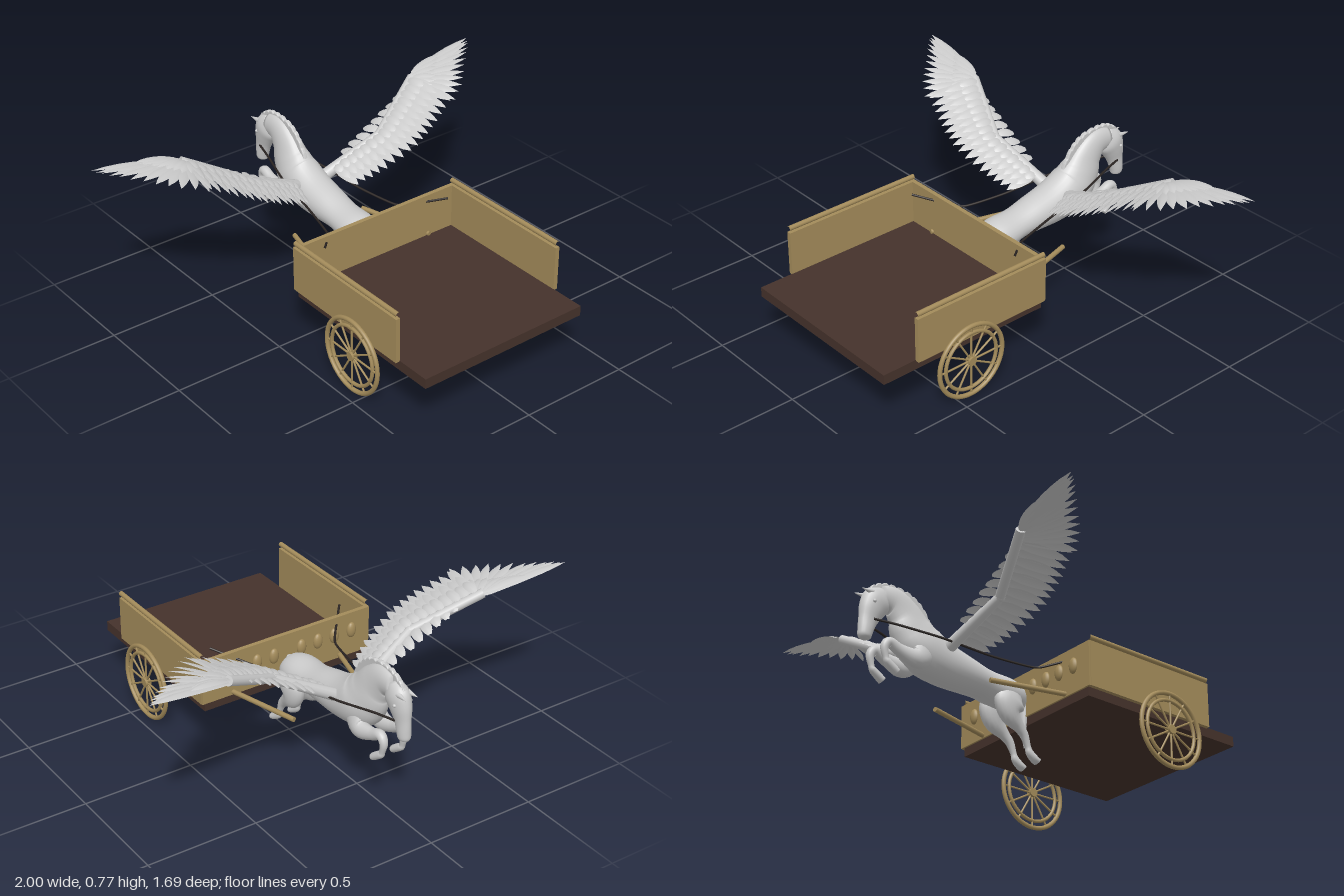
import * as THREE from 'three';
import { mergeGeometries } from 'three/addons/utils/BufferGeometryUtils.js';

const V = (x, y, z) => new THREE.Vector3(x, y, z);
const mat = (color, side = THREE.FrontSide) => new THREE.MeshStandardMaterial({ color, side });
const grey = mat(0xcccccc), featherGrey = mat(0xcccccc, THREE.DoubleSide);
const wood = mat(0xa38b5a), darkWood = mat(0x45322b), leather = mat(0x2a2422);

function add(parent, name, geo, material) {
  const mesh = new THREE.Mesh(geo, material);
  mesh.name = name;
  parent.add(mesh);
  return mesh;
}

function box(w, h, d, x, y, z) {
  return new THREE.BoxGeometry(w, h, d).translate(x, y, z);
}

// Tapered rod between two points
function rod(a, b, ra, rb = ra, open = false, sides = 12) {
  const d = b.clone().sub(a);
  const q = new THREE.Quaternion().setFromUnitVectors(V(0, 1, 0), d.clone().normalize());
  return new THREE.CylinderGeometry(rb, ra, d.length(), sides, 1, open)
    .applyQuaternion(q).translate(...a.clone().add(b).multiplyScalar(0.5).toArray());
}

// Smooth elliptical loft; each section is [x, y, z, halfWidth, halfHeight]
function loft(sections, s = 1, sides = 18, perSpan = 5) {
  const path = new THREE.CatmullRomCurve3(sections.map(p => V(p[0] * s, p[1], p[2])), false, 'catmullrom');
  const size = new THREE.CatmullRomCurve3(sections.map(p => V(p[3], p[4], 0)), false, 'catmullrom');
  const n = (sections.length - 1) * perSpan, pos = [], idx = [];
  for (let i = -1; i <= n + 1; i++) {
    const u = Math.min(Math.max(i / n, 0), 1), k = i < 0 || i > n ? 0.02 : 1;
    const c = path.getPoint(u), r = size.getPoint(u), t = path.getTangent(u).setX(0).normalize();
    const up = V(1, 0, 0).cross(t);
    for (let j = 0; j < sides; j++) {
      const a = j / sides * Math.PI * 2;
      const p = c.clone().addScaledVector(up, Math.sin(a) * r.y * k);
      pos.push(p.x + Math.cos(a) * r.x * k, p.y, p.z);
      if (i > n) continue;
      const row = (i + 1) * sides, j2 = (j + 1) % sides;
      idx.push(row + j, row + sides + j, row + j2, row + j2, row + sides + j, row + sides + j2);
    }
  }
  const g = new THREE.BufferGeometry();
  g.setAttribute('position', new THREE.Float32BufferAttribute(pos, 3));
  g.setIndex(idx);
  g.computeVertexNormals();
  return g;
}

// Cambered leaf-shaped feather from base to tip
function feather(base, tip, half, wingUp, sag = 0.008) {
  const d = tip.clone().sub(base), side = wingUp.clone().cross(d).normalize();
  const up = d.clone().cross(side).normalize();
  const widths = [0.4, 0.8, 1, 1, 0.9, 0.6, 0.02], pos = [], idx = [];
  widths.forEach((w, i) => {
    const t = i / 6, c = base.clone().addScaledVector(d, t).addScaledVector(up, sag * 4 * t * (1 - t));
    for (const k of [-1, 0, 1]) {
      const p = c.clone().addScaledVector(side, k * w * half).addScaledVector(up, k ? 0 : half * 0.3 * w);
      pos.push(p.x, p.y, p.z);
    }
    if (i < 6) for (const a of [i * 3, i * 3 + 1]) idx.push(a, a + 1, a + 3, a + 1, a + 4, a + 3);
  });
  const g = new THREE.BufferGeometry();
  g.setAttribute('position', new THREE.Float32BufferAttribute(pos, 3));
  g.setIndex(idx);
  g.computeVertexNormals();
  return g;
}

function makeWing(s) {
  const wing = new THREE.Group();
  wing.name = s > 0 ? 'leftWing' : 'rightWing';
  const planeY = x => x < 0.62 ? 0.43 + (x - 0.08) * 0.52 : 0.71 + (x - 0.62) * 0.2;
  const at = (x, z, lift = 0) => V(s * x, planeY(x) + lift, z);
  const up = V(-0.45 * s, 0.89, 0);
  const shoulder = at(0.06, -0.44), elbow = at(0.34, -0.385), wrist = at(0.62, -0.505);
  const arm = t => t < 0.5 ? shoulder.clone().lerp(elbow, t * 2) : elbow.clone().lerp(wrist, t * 2 - 1);
  const curve = pts => new THREE.CatmullRomCurve3(pts.map(p => at(p[0], p[1], -0.015)));

  add(wing, 'wingUpperArm', rod(shoulder, elbow, 0.028, 0.021), grey);
  add(wing, 'wingForearm', rod(elbow, wrist, 0.021, 0.021), grey);
  add(wing, 'wingElbow', new THREE.SphereGeometry(0.022, 14, 10).translate(...elbow.toArray()), grey);

  // Row of overlapping feathers between an inner and an outer curve
  const row = (name, count, baseAt, tipAt, reach, half, lift) => {
    const list = [];
    for (let i = 0; i < count; i++) {
      const t = i / (count - 1), b = baseAt(t), tip = b.clone().lerp(tipAt(t), reach);
      const off = up.clone().multiplyScalar(lift + (i % 2) * 0.003);
      list.push(feather(b.add(off), tip.add(off), half, up));
    }
    add(wing, name, mergeGeometries(list), featherGrey);
  };
  const trail = curve([[0.13, -0.27], [0.24, -0.22], [0.38, -0.19], [0.5, -0.205], [0.63, -0.25]]);
  const fan = curve([[0.65, -0.24], [0.75, -0.31], [0.83, -0.39], [0.91, -0.47], [0.97, -0.53], [0.998, -0.57]]);
  const inner = t => arm(0.12 + 0.84 * t), outer = t => arm(0.93).lerp(at(0.64, -0.52), t);
  row('secondaryFeathers', 16, inner, t => trail.getPoint(t), 1, 0.024, -0.008);
  row('middleCoverts', 16, inner, t => trail.getPoint(t), 0.7, 0.022, 0.004);
  row('smallCoverts', 16, inner, t => trail.getPoint(t), 0.42, 0.02, 0.014);
  row('primaryFeathers', 12, outer, t => fan.getPoint(t), 1, 0.024, -0.006);
  row('primaryCoverts', 10, outer, t => fan.getPoint(t), 0.5, 0.02, 0.008);
  row('leadingCoverts', 9, t => at(0.2 + 0.34 * t, -0.475 - 0.01 * t),
    t => at(0.22 + 0.36 * t, -0.37 - 0.04 * t), 1, 0.022, 0);
  return wing;
}

function makeHorse() {
  const horse = new THREE.Group();
  horse.name = 'wingedHorse';
  add(horse, 'bodyAndNeck', loft([
    [0, 0.34, 0.005, 0.03, 0.03], [0, 0.335, -0.03, 0.07, 0.06], [0, 0.34, -0.1, 0.086, 0.073],
    [0, 0.355, -0.2, 0.078, 0.064], [0, 0.368, -0.3, 0.084, 0.077], [0, 0.385, -0.42, 0.09, 0.095],
    [0, 0.42, -0.52, 0.088, 0.112], [0, 0.475, -0.572, 0.07, 0.105], [0, 0.54, -0.612, 0.052, 0.084],
    [0, 0.585, -0.665, 0.042, 0.068], [0, 0.59, -0.735, 0.036, 0.05]], 1, 28), grey);
  add(horse, 'head', loft([
    [0, 0.605, -0.72, 0.028, 0.035], [0, 0.565, -0.75, 0.044, 0.064], [0, 0.52, -0.773, 0.04, 0.058],
    [0, 0.465, -0.79, 0.03, 0.042], [0, 0.415, -0.8, 0.028, 0.033], [0, 0.388, -0.803, 0.024, 0.028],
    [0, 0.378, -0.803, 0.012, 0.014]], 1, 22), grey);

  // Mane with a scalloped upper edge, closed along the neck
  const crest = new THREE.CatmullRomCurve3([V(0.475, 0.53, 0), V(0.525, 0.605, 0), V(0.58, 0.643, 0),
    V(0.66, 0.657, 0), V(0.73, 0.65, 0), V(0.785, 0.615, 0), V(0.815, 0.565, 0)]);
  const outline = crest.getPoints(36).map((p, i) => new THREE.Vector2(p.x, p.y - (i % 3 ? 0 : 0.008)));
  for (const [x, y] of [[0.76, 0.57], [0.66, 0.6], [0.58, 0.56], [0.52, 0.48]]) outline.push(new THREE.Vector2(x, y));
  add(horse, 'mane', new THREE.ExtrudeGeometry(new THREE.Shape(outline), {
    depth: 0.01, bevelEnabled: true, bevelSize: 0.004, bevelThickness: 0.005, bevelSegments: 2,
  }).translate(0, 0, -0.005).rotateY(Math.PI / 2), grey);

  add(horse, 'tail', loft([[0, 0.37, -0.01, 0.014, 0.014], [0, 0.32, 0.012, 0.02, 0.018],
    [0, 0.23, 0.014, 0.018, 0.014], [0, 0.13, 0.022, 0.004, 0.004]], 1, 12), grey);

  for (const s of [1, -1]) {
    const side = s > 0 ? 'left' : 'right';
    add(horse, side + 'HindLeg', loft([
      [0.045, 0.34, -0.07, 0.03, 0.04], [0.05, 0.29, -0.1, 0.042, 0.075], [0.052, 0.235, -0.1, 0.036, 0.052],
      [0.05, 0.19, -0.05, 0.021, 0.028], [0.048, 0.16, -0.02, 0.017, 0.021], [0.047, 0.115, 0, 0.013, 0.014],
      [0.047, 0.09, 0.01, 0.016, 0.018], [0.047, 0.07, 0.033, 0.02, 0.017], [0.047, 0.06, 0.052, 0.021, 0.015]], s), grey);
    add(horse, side + 'ForeLeg', loft([
      [0.045, 0.4, -0.53, 0.03, 0.06], [0.053, 0.34, -0.58, 0.035, 0.045], [0.052, 0.35, -0.66, 0.024, 0.028],
      [0.05, 0.372, -0.715, 0.022, 0.022], [0.05, 0.345, -0.738, 0.018, 0.018], [0.05, 0.3, -0.73, 0.013, 0.013],
      [0.05, 0.285, -0.722, 0.016, 0.016], [0.05, 0.265, -0.695, 0.019, 0.017], [0.05, 0.25, -0.675, 0.02, 0.016]], s), grey);
    add(horse, side + 'Ear', rod(V(s * 0.022, 0.585, -0.785), V(s * 0.028, 0.585, -0.84), 0.013, 0.001), grey);
    add(horse, side + 'Eye', new THREE.SphereGeometry(0.008, 10, 8).translate(s * 0.039, 0.54, -0.785), grey);
    horse.add(makeWing(s));
  }
  return horse;
}

function makeWheel(s) {
  const wheel = new THREE.Group();
  wheel.name = s > 0 ? 'leftWheel' : 'rightWheel';
  add(wheel, 'rim', new THREE.TorusGeometry(0.164, 0.01, 10, 48), wood);
  add(wheel, 'innerRing', new THREE.TorusGeometry(0.132, 0.008, 8, 48), wood);
  add(wheel, 'hub', new THREE.CylinderGeometry(0.02, 0.02, 0.026, 20).rotateX(Math.PI / 2), wood);
  for (let i = 0; i < 12; i++) {
    const a = i / 12 * Math.PI * 2;
    add(wheel, 'spoke', rod(V(0, 0, 0), V(Math.cos(a) * 0.16, Math.sin(a) * 0.16, 0), 0.0045, 0.0045, true, 8), wood);
  }
  wheel.rotation.y = Math.PI / 2;
  wheel.position.set(s * 0.451, 0.174, 0.435);
  return wheel;
}

function makeCart() {
  const cart = new THREE.Group();
  cart.name = 'cart';
  add(cart, 'floor', box(0.82, 0.045, 0.825, 0, 0.2475, 0.4325), darkWood);
  add(cart, 'frontBoard', box(0.85, 0.203, 0.02, 0, 0.3665, 0.022), wood);
  for (const s of [1, -1]) {
    add(cart, 'sideBoard', box(0.02, 0.203, 0.665, s * 0.418, 0.3665, 0.3525), wood);
    add(cart, 'sideRail', rod(V(s * 0.418, 0.487, 0.02), V(s * 0.418, 0.487, 0.685), 0.011, 0.011, true), wood);
    add(cart, 'shaft', rod(V(s * 0.28, 0.278, 0.04), V(s * 0.185, 0.278, -0.31), 0.011), wood);
    // Oval studs along the front board
    for (const x of [0.07, 0.155, 0.24, 0.33])
      add(cart, 'frontStud', new THREE.SphereGeometry(1, 16, 12).scale(0.023, 0.036, 0.016).translate(s * x, 0.385, 0.01), wood);
    const path = new THREE.CatmullRomCurve3([V(s * 0.33, 0.465, 0.1), V(s * 0.19, 0.405, -0.065),
      V(s * 0.14, 0.415, -0.27), V(s * 0.105, 0.44, -0.5), V(s * 0.055, 0.46, -0.68), V(s * 0.028, 0.465, -0.78)], false, 'catmullrom', 0.2);
    add(cart, 'rein', new THREE.TubeGeometry(path, 40, 0.005, 8), leather);
    cart.add(makeWheel(s));
  }
  return cart;
}

export function createModel() {
  const model = new THREE.Group();
  model.name = 'wingedHorseCart';
  model.add(makeCart(), makeHorse());
  return model;
}
